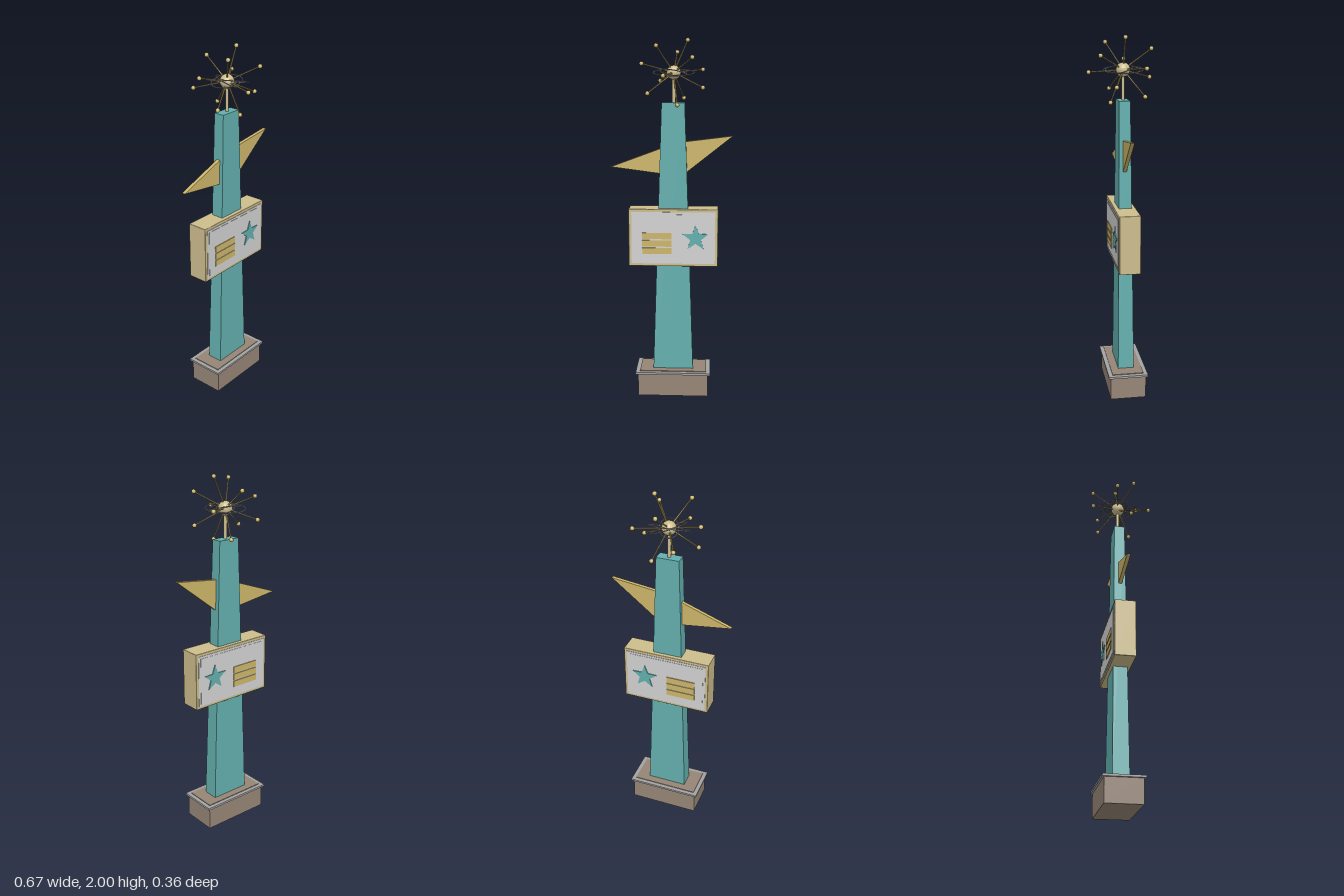
import * as THREE from 'three';
import { RoundedBoxGeometry } from 'three/addons/geometries/RoundedBoxGeometry.js';

const mat = (name, color) => {
  const m = new THREE.MeshStandardMaterial({ color });
  m.name = name;
  return m;
};

export function createModel() {
  const teal = mat('teal', 0x63afae);
  const tan = mat('tan', 0xcdbd8c);
  const gold = mat('gold', 0xcdb66a);
  const brass = mat('brass', 0xb89f5c);
  const brown = mat('brown', 0x968576);
  const chrome = mat('chrome', 0xa4a3a4);
  const white = mat('panel white', 0xd2d2d2);

  const model = new THREE.Group();
  model.name = 'roadsideSign';
  // Everything but the wing tips is centred on this axis
  const axis = new THREE.Group();
  axis.name = 'signPost';
  axis.position.set(0.011, 0, -0.011);
  model.add(axis);

  const add = (name, geo, material, x = 0, y = 0, z = 0, parent = axis) => {
    const mesh = new THREE.Mesh(geo, material);
    mesh.name = name;
    mesh.position.set(x, y, z);
    parent.add(mesh);
    return mesh;
  };
  const box = (name, material, w, h, d, x, y, z) =>
    add(name, new THREE.BoxGeometry(w, h, d), material, x, y, z);
  const faceted = (radius, detail) => {
    const g = new THREE.IcosahedronGeometry(radius, detail);
    g.computeVertexNormals(); // unshared corners give flat facets
    return g;
  };

  // Plinth with a projecting metal rim and a low top slab
  box('plinth', brown, 0.396, 0.133, 0.2, 0, 0.0665, 0);
  box('plinthRim', chrome, 0.423, 0.012, 0.222, 0, 0.136, 0);
  box('plinthTop', brown, 0.376, 0.012, 0.176, 0, 0.14, 0);

  // Tapered column
  const columnGeo = new THREE.BoxGeometry(0.227, 1.52, 0.09);
  const p = columnGeo.attributes.position;
  for (let i = 0; i < p.count; i++) {
    if (p.getY(i) > 0) {
      p.setX(i, p.getX(i) * 0.555 - 0.002);
      p.setZ(i, p.getZ(i) * 0.667);
    }
  }
  const column = columnGeo.toNonIndexed();
  column.computeVertexNormals();
  add('column', column, teal, 0, 0.9, 0);

  // Sign box
  add('signBox', new RoundedBoxGeometry(0.497, 0.324, 0.116, 2, 0.004), tan, 0, 0.918, 0);

  // Five-pointed star outline
  const star = new THREE.Shape();
  for (let i = 0; i < 10; i++) {
    const r = i % 2 ? 0.031 : 0.075;
    const a = Math.PI / 2 + (i * Math.PI) / 5;
    star[i ? 'lineTo' : 'moveTo'](r * Math.cos(a), r * Math.sin(a));
  }
  star.closePath();
  const starGeo = new THREE.ExtrudeGeometry(star, { depth: 0.006, bevelEnabled: false });
  starGeo.translate(0, 0, -0.003);

  // Panels, star and bars on both faces
  for (const s of [1, -1]) {
    const side = s > 0 ? 'front' : 'back';
    box(side + 'PanelBorder', white, 0.464, 0.292, 0.006, 0, 0.918, s * 0.057);
    box(side + 'Panel', white, 0.438, 0.266, 0.006, 0, 0.918, s * 0.0585);
    add(side + 'Star', starGeo, teal, 0.124, 0.919, s * 0.063);
    for (let i = 0; i < 3; i++) {
      box(side + 'Bar' + (i + 1), gold, 0.164, 0.035, 0.006, -0.09, 0.93 - i * 0.0425, s * 0.063);
    }
  }

  // Pointed wings, rooted inside the column
  const wing = (name, points) => {
    const shape = new THREE.Shape(points.map(([x, y]) => new THREE.Vector2(x, y)));
    const g = new THREE.ExtrudeGeometry(shape, { depth: 0.02, bevelEnabled: false });
    add(name, g, gold, 0, 0, -0.019, model);
  };
  wing('rightWing', [[-0.337, 1.308], [0, 1.264], [0, 1.433]]);
  wing('leftWing', [[0.03, 1.238], [0.336, 1.481], [0.03, 1.443]]);

  // Mast and core of the starburst
  const core = new THREE.Vector3(0, 1.82, 0);
  add('mast', new THREE.CylinderGeometry(0.009, 0.009, 0.16, 16), tan, 0, 1.73, 0);
  add('burstCore', faceted(0.0385, 3), tan, core.x, core.y, core.z);

  // Three tilted elliptical orbits
  const curve = new THREE.CatmullRomCurve3(
    Array.from({ length: 32 }, (_, i) => {
      const a = (i / 32) * Math.PI * 2;
      return new THREE.Vector3(0.111 * Math.cos(a), 0, 0.05 * Math.sin(a));
    }), true);
  const orbitGeo = new THREE.TubeGeometry(curve, 64, 0.0028, 8, true);
  for (let i = 0; i < 3; i++) {
    const orbit = add('orbit' + (i + 1), orbitGeo, chrome, core.x, core.y, core.z);
    orbit.rotation.set(0.35, (i * Math.PI) / 3, 0, 'YXZ');
  }

  // Spokes tipped with balls, all the same length
  const tips = [
    [-0.084, -0.047, -0.161], [0.013, 0.111, -0.152], [0.053, -0.142, -0.113],
    [0.158, 0.015, -0.1], [-0.178, 0.047, -0.031], [0.075, 0.17, -0.001],
    [-0.14, -0.11, 0.057], [-0.091, 0.142, 0.084], [0.022, -0.172, 0.071],
    [0.161, -0.08, 0.058], [0.104, 0.08, 0.134], [-0.048, -0.015, 0.18],
  ];
  const length = 0.186;
  const spokeGeo = new THREE.CylinderGeometry(0.0032, 0.0045, length, 8);
  spokeGeo.translate(0, length / 2, 0);
  const ballGeo = faceted(0.0118, 2);
  const up = new THREE.Vector3(0, 1, 0);
  tips.forEach((t, i) => {
    const dir = new THREE.Vector3(...t).normalize();
    const spoke = add('spoke' + (i + 1), spokeGeo, brass, core.x, core.y, core.z);
    spoke.quaternion.setFromUnitVectors(up, dir);
    const end = dir.multiplyScalar(length).add(core);
    add('spokeBall' + (i + 1), ballGeo, gold, end.x, end.y, end.z);
  });

  return model;
}
